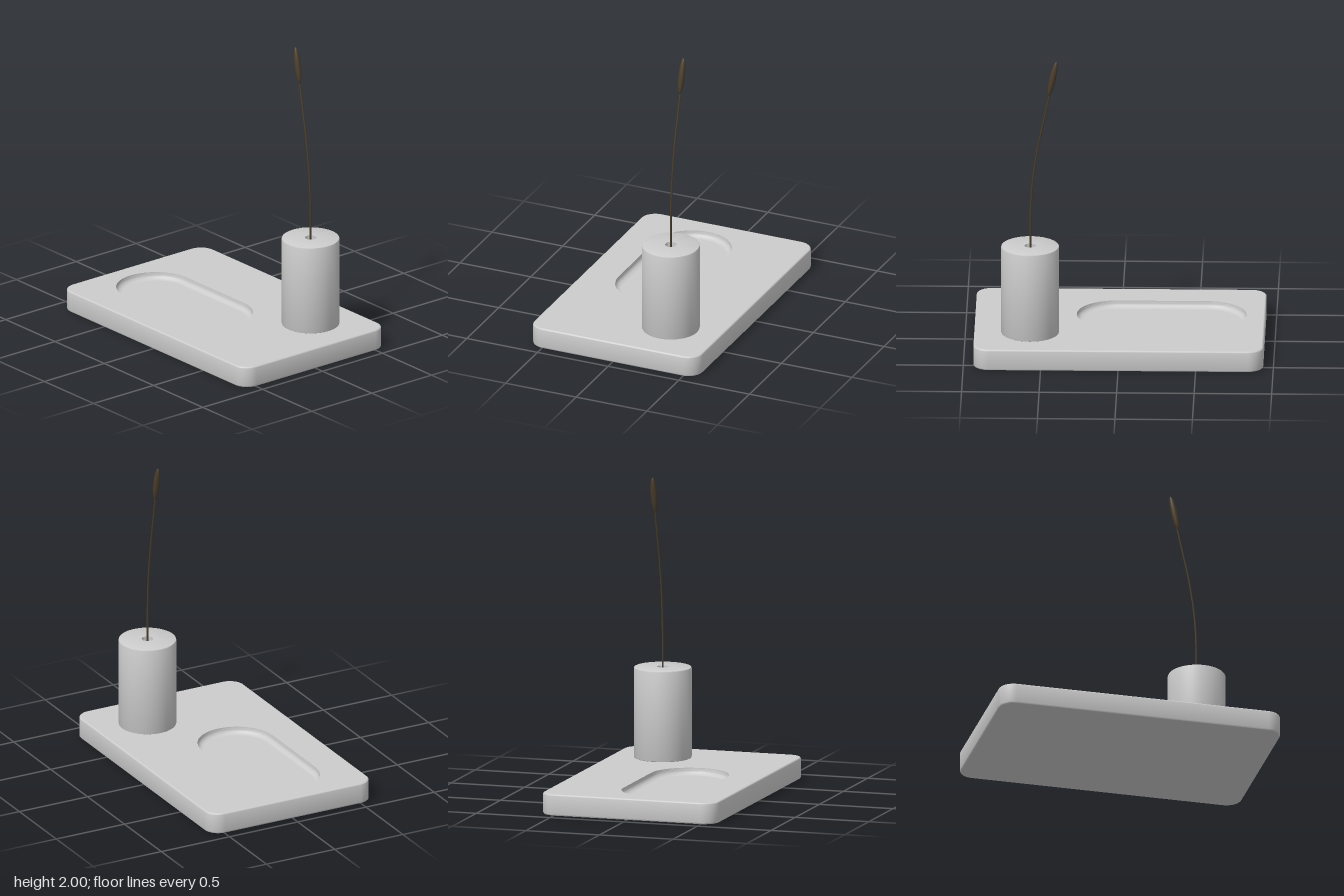
import * as THREE from 'three';
import { mergeGeometries, toCreasedNormals } from 'three/addons/utils/BufferGeometryUtils.js';

const TRAY = { w: 1.87, d: 1.19, r: 0.1, x: 0, z: 0 };
const DISH = { w: 1.095, d: 0.512, r: 0.256, x: -0.267, z: 0.11 };
const TOP = 0.14;

// Rounded rectangle outline, anticlockwise from above (second axis is -z)
function outline({ w, d, r, x, z }, inset = 0, steps = 14) {
  const pts = [];
  const corners = [[1, 1], [-1, 1], [-1, -1], [1, -1]];
  corners.forEach(([sx, sz], k) => {
    for (let i = 0; i <= steps; i++) {
      const a = (k + i / steps) * Math.PI / 2;
      pts.push(new THREE.Vector2(
        x + sx * (w / 2 - r) + (r - inset) * Math.cos(a),
        -z + sz * (d / 2 - r) + (r - inset) * Math.sin(a)));
    }
  });
  return pts;
}

// Wall swept around an outline through [inset, height] pairs
function wall(spec, profile) {
  const pos = [], index = [];
  let n = 0;
  for (const [inset, y] of profile) {
    const pts = outline(spec, inset);
    n = pts.length;
    pts.forEach(p => pos.push(p.x, y, -p.y));
  }
  for (let j = 0; j < profile.length - 1; j++) {
    for (let i = 0; i < n; i++) {
      const k = (i + 1) % n;
      const a = j * n + i, b = j * n + k, c = b + n, d = a + n;
      index.push(a, b, c, a, c, d);
    }
  }
  const g = new THREE.BufferGeometry();
  g.setAttribute('position', new THREE.Float32BufferAttribute(pos, 3));
  g.setIndex(index);
  g.computeVertexNormals();
  return toCreasedNormals(g, 0.7);
}

// Flat horizontal face filling an outline
function face(points, y, hole, down = false) {
  const shape = new THREE.Shape(points);
  if (hole) shape.holes.push(new THREE.Path(hole));
  const g = new THREE.ShapeGeometry(shape);
  g.rotateX(down ? Math.PI / 2 : -Math.PI / 2).translate(0, y, 0);
  g.deleteAttribute('uv');
  return g.toNonIndexed();
}

// Quarter round as [inset, height] pairs
function quarter(cx, cy, r, from, to, steps = 6) {
  return Array.from({ length: steps + 1 }, (_, i) => {
    const a = from + (to - from) * i / steps;
    return [cx + r * Math.cos(a), cy + r * Math.sin(a)];
  });
}

export function createModel() {
  const group = new THREE.Group();
  const stone = new THREE.MeshStandardMaterial({ color: 0xcccccc });
  stone.name = 'pale grey';
  const bark = new THREE.MeshStandardMaterial({ color: 0x4a3d2b });
  bark.name = 'dark brown';
  const add = (name, geometry, material) => {
    const mesh = new THREE.Mesh(geometry, material);
    mesh.name = name;
    group.add(mesh);
    return mesh;
  };

  // Tray with softened edges and a sunken rounded dish
  const e = 0.01, depth = 0.045, fillet = 0.035, P = Math.PI;
  const outer = [
    ...quarter(e, e, e, 1.5 * P, P, 3),
    ...quarter(e, TOP - e, e, P, P / 2, 3),
  ];
  const inner = [
    [0, TOP],
    ...quarter(fillet, TOP - depth + fillet, fillet, P, 1.5 * P),
  ];
  add('tray', mergeGeometries([
    wall(TRAY, outer),
    face(outline(TRAY, e), 0, null, true),
    face(outline(TRAY, e), TOP, outline(DISH)),
    wall(DISH, inner),
    face(outline(DISH, fillet), TOP - depth),
  ]), stone);

  // Cylindrical vase with a narrow bore
  const profile = [
    [0, 0], [0.179, 0], [0.185, 0.003], [0.187, 0.009],
    [0.187, 0.586], [0.185, 0.592], [0.179, 0.595],
    [0.037, 0.595], [0.036, 0.2], [0, 0.2],
  ].map(p => new THREE.Vector2(...p));
  const vase = add('vase', toCreasedNormals(new THREE.LatheGeometry(profile, 64), 0.7), stone);
  vase.position.set(0.574, TOP, -0.251);

  // Thin curved stem
  const path = new THREE.CatmullRomCurve3([
    [0.572, 0.35, -0.251], [0.572, 0.75, -0.251], [0.57, 1.0, -0.251],
    [0.555, 1.2, -0.252], [0.522, 1.42, -0.254], [0.484, 1.6, -0.258], [0.444, 1.79, -0.262],
  ].map(p => new THREE.Vector3(...p)));
  add('stem', new THREE.TubeGeometry(path, 60, 0.006, 8), bark);

  // Slender seed head continuing the stem
  const low = new THREE.Vector3(0.454, 1.763, -0.26);
  const high = new THREE.Vector3(0.404, 2.0, -0.265);
  const axis = high.clone().sub(low);
  const head = add('seedHead', new THREE.SphereGeometry(1, 24, 16), bark);
  head.scale.set(0.021, axis.length() / 2, 0.021);
  head.position.copy(low).add(high).multiplyScalar(0.5);
  head.quaternion.setFromUnitVectors(new THREE.Vector3(0, 1, 0), axis.normalize());

  return group;
}
